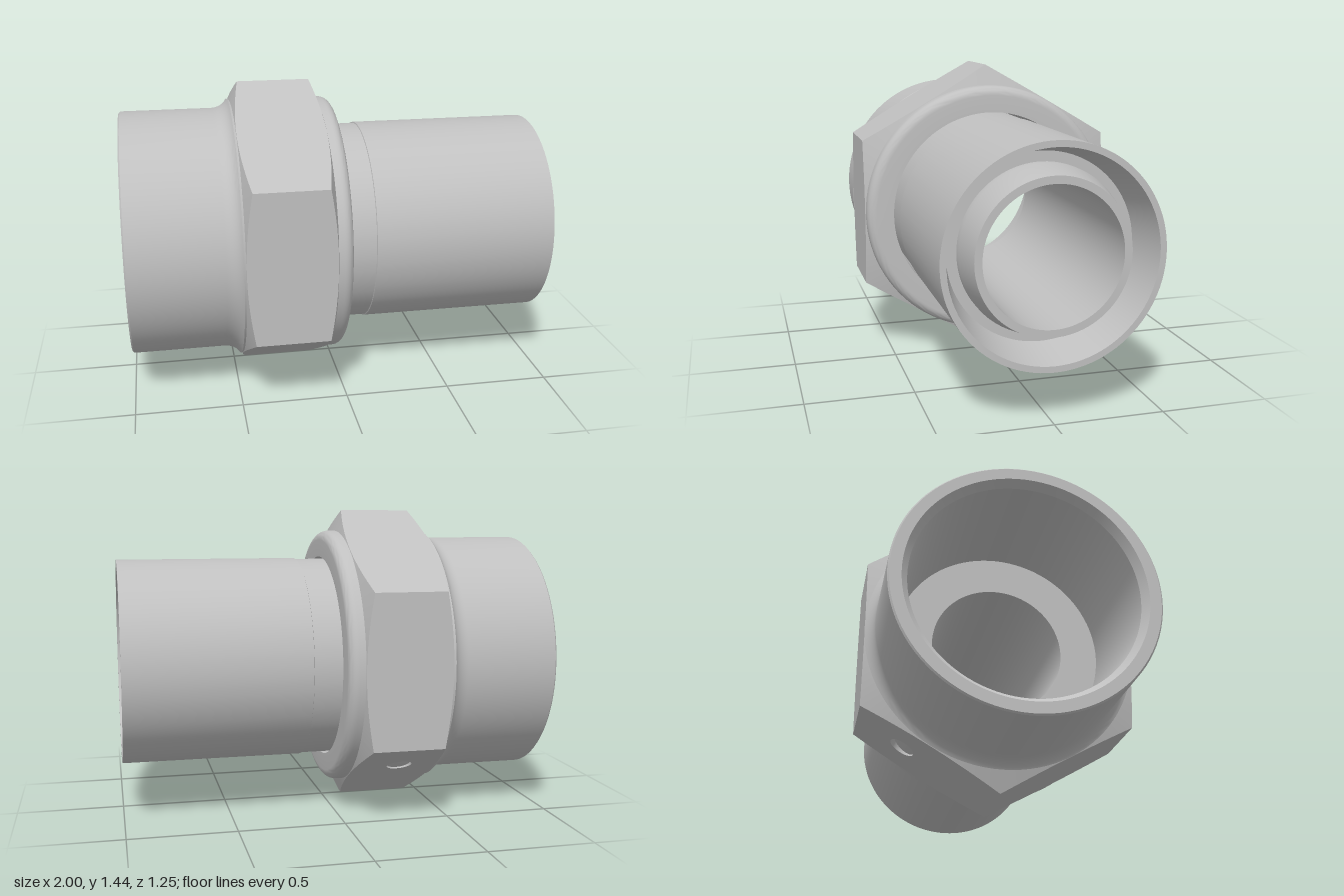
import * as THREE from 'three';
import { toCreasedNormals } from 'three/addons/utils/BufferGeometryUtils.js';

const AXIS_Y = 0.722; // height of the pipe axis
const APOTHEM = 0.625; // hexagon centre to flat
const HALF = APOTHEM * Math.tan(Math.PI / 6);

// Closed ring turned about the x axis from [x, radius] points (outside runs to +x)
function turned(name, profile, material) {
  const pts = [...profile, profile[0]].map(([x, r]) => new THREE.Vector2(r, x));
  const geo = new THREE.LatheGeometry(pts, 96).rotateZ(-Math.PI / 2);
  const mesh = new THREE.Mesh(toCreasedNormals(geo, 0.45), material);
  mesh.name = name;
  return mesh;
}

// Points on a circular arc in the [x, radius] plane
function arc(cx, cr, rx, rr, from, to, n = 8) {
  return Array.from({ length: n + 1 }, (_, i) => {
    const a = from + (to - from) * i / n;
    return [cx + rx * Math.cos(a), cr + rr * Math.sin(a)];
  });
}

// Distance the conical chamfer has cut in from the hexagon's end at radius r
const chamfer = r => 0.36 * (r - APOTHEM);
const leftX = r => -0.475 + chamfer(r);
const rightX = r => -0.065 - chamfer(r);

// Conical chamfer of one flat, between its curved edge and the round body
function chamferGeometry(steps, edgeX, flip) {
  const pos = [], index = [];
  steps.forEach((t, i) => {
    const r = Math.hypot(t, APOTHEM), k = 0.605 / r;
    pos.push(edgeX(r), t, APOTHEM, edgeX(0.605), t * k, APOTHEM * k);
    if (i === 0) return;
    const a = 2 * i - 2, b = a + 1, c = a + 2, d = a + 3;
    index.push(...(flip ? [a, b, c, c, b, d] : [a, c, b, c, d, b]));
  });
  const geo = new THREE.BufferGeometry();
  geo.setAttribute('position', new THREE.Float32BufferAttribute(pos, 3));
  geo.setIndex(index);
  geo.computeVertexNormals();
  return geo;
}

export function createModel() {
  const model = new THREE.Group();
  model.name = 'pipeFitting';
  const steel = new THREE.MeshStandardMaterial({ color: 0xc0c0c0 });
  steel.name = 'steel';
  const steelInside = steel.clone();
  steelInside.name = 'steel';

  const fitting = new THREE.Group();
  fitting.name = 'fitting';
  fitting.position.y = AXIS_Y;
  model.add(fitting);

  // Socket with a fillet up to the hexagon and a rounded collar behind it
  fitting.add(turned('socketBody', [
    [-1, 0.578], [-0.993, 0.585],
    ...arc(-0.56, 0.665, 0.085, 0.08, -Math.PI / 2, -0.5),
    [-0.47, 0.62], [-0.065, 0.622],
    ...arc(-0.035, 0.577, 0.045, 0.045, Math.PI / 2, 0),
    [0.01, 0.494], [-0.965, 0.5], [-1, 0.527],
  ], steel));

  // Hexagon: six flats with curved chamfer edges, one drilled
  const hexagon = new THREE.Group();
  hexagon.name = 'hexagon';
  fitting.add(hexagon);
  const steps = Array.from({ length: 25 }, (_, i) => HALF * (i / 12 - 1));
  const hole = { x: -0.285, t: -0.12, r: 0.06, depth: 0.12 };
  for (let k = 0; k < 6; k++) {
    const drilled = k === 2;
    const outline = [
      ...steps.map(t => new THREE.Vector2(rightX(Math.hypot(t, APOTHEM)), t)),
      ...steps.map(t => new THREE.Vector2(leftX(Math.hypot(t, APOTHEM)), t)).reverse(),
    ];
    const shape = new THREE.Shape(outline);
    if (drilled) shape.holes.push(new THREE.Path().absarc(hole.x, hole.t, hole.r, 0, Math.PI * 2, true));
    const side = new THREE.Group();
    side.name = 'hexSide';
    side.rotation.x = k * Math.PI / 3;
    const flat = new THREE.Mesh(new THREE.ShapeGeometry(shape, 24), steel);
    flat.name = 'hexFlat';
    flat.position.z = APOTHEM;
    const left = new THREE.Mesh(chamferGeometry(steps, leftX, false), steel);
    left.name = 'leftChamfer';
    const right = new THREE.Mesh(chamferGeometry(steps, rightX, true), steel);
    right.name = 'rightChamfer';
    side.add(flat, left, right);
    if (drilled) {
      // Wall and floor of the drilled hole, turned to face inward
      const pts = [[0, -hole.depth], [hole.r, -hole.depth], [hole.r, 0]]
        .map(([r, y]) => new THREE.Vector2(r, y)).reverse();
      const geo = new THREE.LatheGeometry(pts, 32).rotateX(Math.PI / 2);
      const bore = new THREE.Mesh(toCreasedNormals(geo, 0.5), steel);
      bore.name = 'drilledHole';
      bore.position.set(hole.x, hole.t, APOTHEM);
      side.add(bore);
    }
    hexagon.add(side);
  }

  // Spigot with a relieved neck, a tapered mouth and an inner tube
  fitting.add(turned('spigot', [
    [-0.4, 0.483], [0.14, 0.483], [0.142, 0.488], [1, 0.488], [1, 0.46],
    [0.8, 0.418], [0.8, 0.372], [0.84, 0.372], [0.98, 0.342], [0.98, 0.308], [-0.4, 0.308],
  ], steel));

  return model;
}
